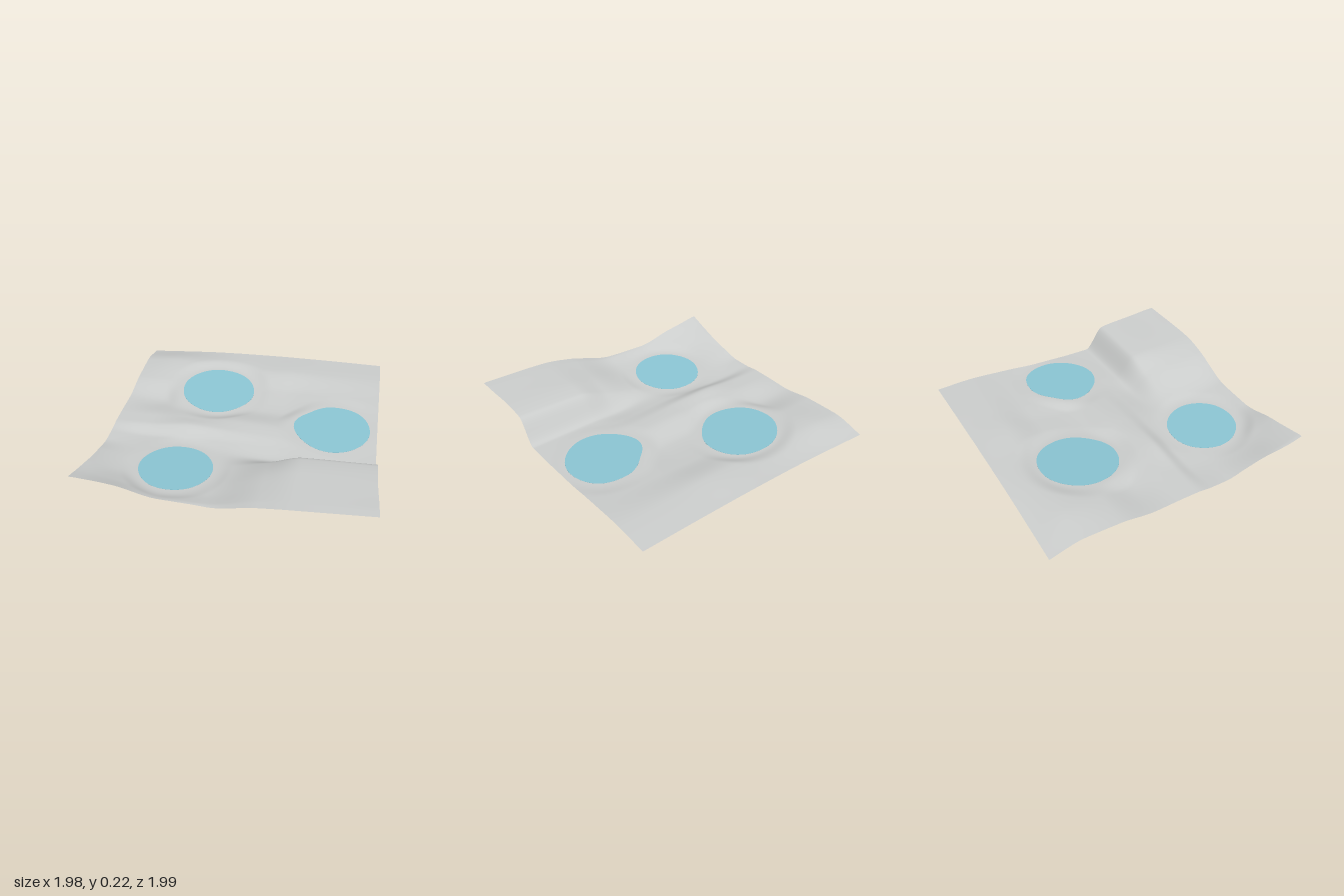
import * as THREE from 'three';

// Terrain height cross-sections: one row per z station, one value per x station
const XS = [-0.97, -0.7, -0.4, -0.1, 0.25, 0.47, 0.97];
const SECTIONS = [
  [-1.0, [0.03, 0.05, 0.07, 0.08, 0.085, 0.085, 0.08]],
  [-0.75, [0.085, 0.108, 0.1, 0.09, 0.1, 0.095, 0.088]],
  [-0.5, [0.08, 0.085, 0.06, 0.05, 0.05, 0.06, 0.073]],
  [-0.25, [0.05, 0.03, 0.05, 0.035, 0.03, 0.045, 0.052]],
  [-0.02, [0.055, 0.06, 0.072, 0.072, 0.06, 0.047, 0.037]],
  [0.08, [0.055, 0.06, 0.085, 0.072, 0.055, 0.045, 0.032]],
  [0.2, [0.045, 0.025, 0.037, 0.045, 0.035, 0.035, 0.03]],
  [0.31, [0.045, 0.03, 0.032, 0.035, 0.02, 0.03, 0.03]],
  [0.47, [0.08, 0.045, 0.045, 0.05, 0.125, 0.195, 0.208]],
  [0.65, [0.125, 0.065, 0.05, 0.06, 0.165, 0.212, 0.225]],
  [0.8, [0.16, 0.11, 0.065, 0.075, 0.175, 0.213, 0.23]],
  [0.92, [0.198, 0.165, 0.098, 0.1, 0.182, 0.214, 0.236]],
];
const ZS = SECTIONS.map((s) => s[0]);

// Ponds: centre, level, gentle tilt along x and z, eight radii from +x towards +z
const PONDS = [
  { name: 'backPond', x: -0.29, z: -0.445, y: 0.056, tilt: [-0.06, -0.05], r: [0.28, 0.268, 0.285, 0.285, 0.277, 0.27, 0.275, 0.285] },
  { name: 'leftPond', x: 0.64, z: -0.1, y: 0.046, tilt: [-0.02, -0.03], r: [0.275, 0.27, 0.275, 0.27, 0.287, 0.245, 0.262, 0.28] },
  { name: 'frontPond', x: -0.388, z: 0.532, y: 0.043, tilt: [0, 0.06], r: [0.258, 0.253, 0.247, 0.253, 0.26, 0.253, 0.247, 0.253] },
];

// Smooth interpolation through unevenly spaced stations, without overshoot
function sample(ts, vs, t) {
  const n = ts.length;
  t = THREE.MathUtils.clamp(t, ts[0], ts[n - 1]);
  let i = 0;
  while (i < n - 2 && t > ts[i + 1]) i++;
  const secant = (k) => (vs[k + 1] - vs[k]) / (ts[k + 1] - ts[k]);
  const slope = (k) => {
    if (k === 0) return secant(0);
    if (k === n - 1) return secant(n - 2);
    const a = secant(k - 1), b = secant(k);
    return a * b <= 0 ? 0 : (2 * a * b) / (a + b);
  };
  const h = ts[i + 1] - ts[i], s = (t - ts[i]) / h, s2 = s * s, s3 = s2 * s;
  return (2 * s3 - 3 * s2 + 1) * vs[i] + (s3 - 2 * s2 + s) * h * slope(i)
    + (3 * s2 - 2 * s3) * vs[i + 1] + (s3 - s2) * h * slope(i + 1);
}

function pondRadius(pond, angle) {
  const t = ((angle / (Math.PI * 2) + 1) % 1) * 8;
  const i = Math.floor(t) % 8;
  return THREE.MathUtils.lerp(pond.r[i], pond.r[(i + 1) % 8], THREE.MathUtils.smoothstep(t - Math.floor(t), 0, 1));
}

const pondLevel = (pond, x, z) => pond.y + (x - pond.x) * pond.tilt[0] + (z - pond.z) * pond.tilt[1];

// Ground height, levelled off under each pond
function height(x, z) {
  let y = sample(ZS, SECTIONS.map((s) => sample(XS, s[1], x)), z);
  for (const pond of PONDS) {
    const dx = x - pond.x, dz = z - pond.z;
    const d = Math.hypot(dx, dz) / pondRadius(pond, Math.atan2(dz, dx));
    if (d < 1.5) y = THREE.MathUtils.lerp(pondLevel(pond, x, z), y, THREE.MathUtils.smoothstep(d, 1.04, 1.5));
  }
  return y;
}

// Thin sheet of land with wavy front and flared sides
function groundGeometry() {
  const geometry = new THREE.PlaneGeometry(2, 2, 130, 130).rotateX(-Math.PI / 2);
  const p = geometry.attributes.position;
  for (let i = 0; i < p.count; i++) {
    const u = p.getX(i), v = (p.getZ(i) + 1) / 2;
    const flare = THREE.MathUtils.smoothstep(v, 0.8, 1);
    const x = u * (u < 0 ? 0.962 + flare * 0.03 : 0.968 + flare * 0.018);
    const front = sample([-1, -0.75, -0.2, 0.1, 0.5, 1], [0.922, 0.912, 0.932, 0.965, 0.997, 0.987], x);
    const z = THREE.MathUtils.lerp(-0.997, front, v);
    p.setXYZ(i, x, height(x, z), z);
  }
  geometry.computeVertexNormals();
  return geometry;
}

// Very thin plate of water that shows on both sides of the sheet
function pondGeometry(pond) {
  const outline = [];
  for (let i = 0; i < 64; i++) {
    const a = (i / 64) * Math.PI * 2, r = pondRadius(pond, a);
    outline.push(new THREE.Vector2(pond.x + r * Math.cos(a), pond.z + r * Math.sin(a)));
  }
  const geometry = new THREE.ExtrudeGeometry(new THREE.Shape(outline), { depth: 0.002, bevelEnabled: false })
    .rotateX(Math.PI / 2);
  const p = geometry.attributes.position;
  for (let i = 0; i < p.count; i++) p.setY(i, p.getY(i) + 0.001 + pondLevel(pond, p.getX(i), p.getZ(i)));
  geometry.computeVertexNormals();
  return geometry;
}

export function createModel() {
  const land = new THREE.MeshStandardMaterial({ color: 0xcacccb, side: THREE.DoubleSide });
  land.name = 'land grey';
  const water = new THREE.MeshStandardMaterial({ color: 0x8ac4d2 });
  water.name = 'water blue';

  const model = new THREE.Group();
  model.name = 'terrain';
  const ground = new THREE.Mesh(groundGeometry(), land);
  ground.name = 'ground';
  model.add(ground);
  for (const pond of PONDS) {
    const mesh = new THREE.Mesh(pondGeometry(pond), water);
    mesh.name = pond.name;
    model.add(mesh);
  }

  // Rest the sheet just on y = 0
  model.position.y = 0.008 - new THREE.Box3().setFromObject(model).min.y;
  return model;
}
